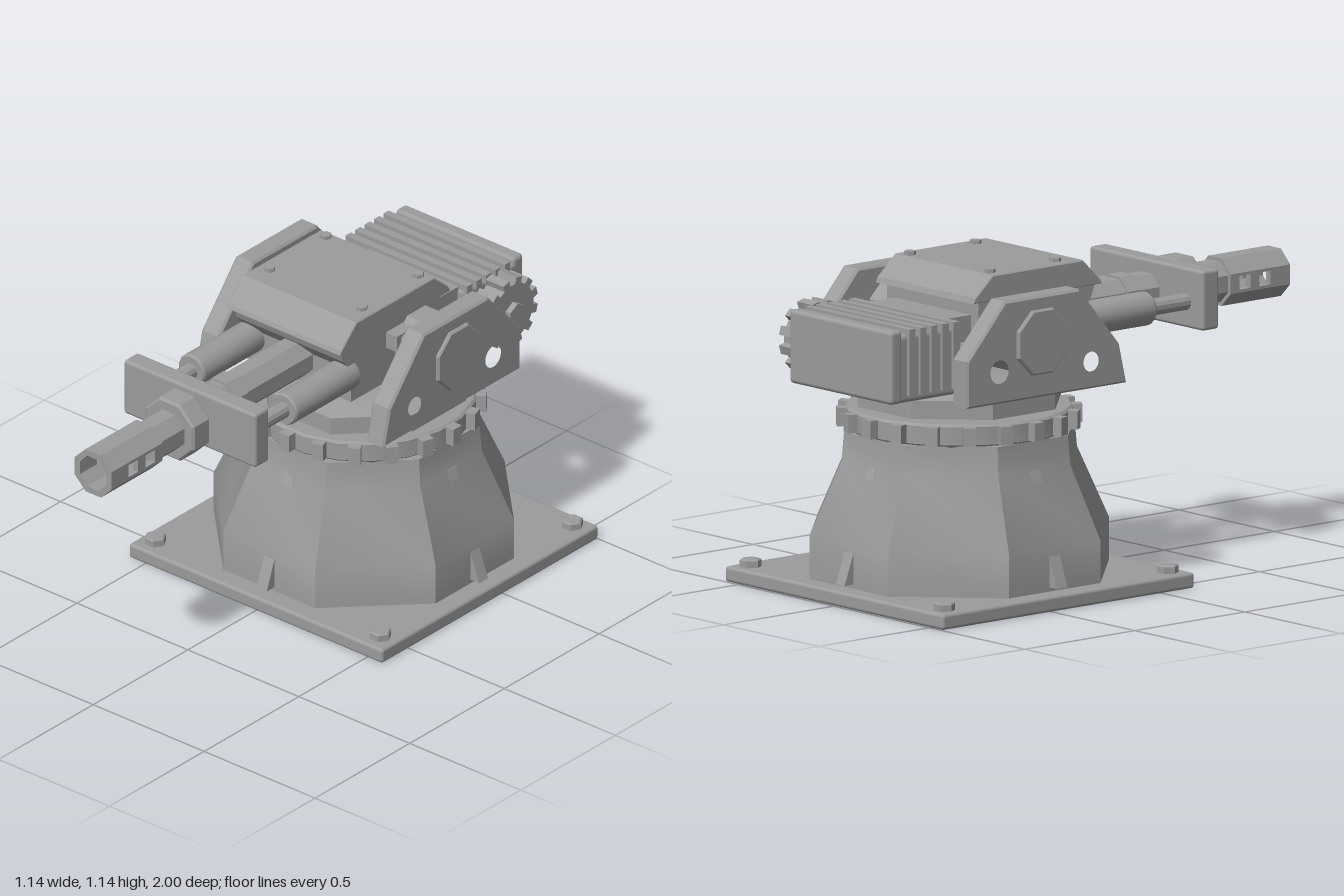
import * as THREE from 'three';
import { toCreasedNormals } from 'three/addons/utils/BufferGeometryUtils.js';
import { RoundedBoxGeometry } from 'three/addons/geometries/RoundedBoxGeometry.js';

const AXIS_Z = -0.43; // turning axis of the turret
const GUN_Y = 0.912;  // height of the barrel line

export function createModel() {
  const model = new THREE.Group();
  const grey = new THREE.MeshStandardMaterial({ color: 0x9c9c9c });
  grey.name = 'grey metal';

  const add = (name, geo, parent = model) => {
    const mesh = new THREE.Mesh(geo, grey);
    mesh.name = name;
    parent.add(mesh);
    return mesh;
  };
  const group = (name, x, y, z) => {
    const g = new THREE.Group();
    g.name = name;
    g.position.set(x, y, z);
    model.add(g);
    return g;
  };

  // Box given by its limits, optionally with rounded edges
  const box = (x0, x1, y0, y1, z0, z1, r = 0) => {
    const size = [x1 - x0, y1 - y0, z1 - z0];
    const geo = r ? new RoundedBoxGeometry(...size, 2, r) : new THREE.BoxGeometry(...size);
    return geo.translate((x0 + x1) / 2, (y0 + y1) / 2, (z0 + z1) / 2);
  };

  // Turned solid from [flat-to-centre distance, height] pairs, a flat side facing front
  const turned = (profile, sides) => {
    const k = 1 / Math.cos(Math.PI / sides);
    const pts = profile.map(([r, y]) => new THREE.Vector2(r * k, y));
    pts.unshift(new THREE.Vector2(0, profile[0][1]));
    pts.push(new THREE.Vector2(0, profile[profile.length - 1][1]));
    return toCreasedNormals(new THREE.LatheGeometry(pts, sides, Math.PI / sides), 0.5);
  };
  const turnedZ = (profile, sides) => turned(profile, sides).rotateX(Math.PI / 2);
  const turnedX = (profile, sides) => turned(profile, sides).rotateZ(-Math.PI / 2);

  // Side profile of [z, y] points extruded from x0 to x1, with round holes [z, y, radius]
  const sideProfile = (pts, x0, x1, holes = [], bevel = 0) => {
    const shape = new THREE.Shape(pts.map(([z, y]) => new THREE.Vector2(-z, y)));
    for (const [z, y, r] of holes) {
      const hole = new THREE.Path();
      hole.absarc(-z, y, r, 0, Math.PI * 2, true);
      shape.holes.push(hole);
    }
    const geo = new THREE.ExtrudeGeometry(shape, {
      depth: x1 - x0 - 2 * bevel, bevelEnabled: bevel > 0, bevelSize: bevel,
      bevelThickness: bevel, bevelOffset: -bevel, bevelSegments: 1, curveSegments: 8,
    });
    return geo.translate(0, 0, x0 + bevel).rotateY(Math.PI / 2);
  };

  // Base plate with corner bolts
  add('basePlate', box(-0.572, 0.572, 0, 0.055, -1, 0.144, 0.012));
  for (const x of [-0.507, 0.507]) for (const z of [-0.507, 0.507]) {
    add('baseBolt', turned([[0.033, 0.05], [0.033, 0.078], [0.028, 0.083]], 6)
      .translate(x, 0, AXIS_Z + z));
  }

  // Eight-sided pedestal with four sloping ribs
  const pedestal = group('pedestal', 0, 0, AXIS_Z);
  add('pedestalBody', turned([[0.5, 0.05], [0.5, 0.205], [0.393, 0.46], [0.385, 0.56]], 8), pedestal);
  for (let i = 0; i < 4; i++) {
    const rib = sideProfile([[0.3, 0.07], [0.54, 0.07], [0.395, 0.46], [0.3, 0.46]], -0.023, 0.023);
    add('pedestalRib', rib.rotateY(i * Math.PI / 2), pedestal);
  }

  // Toothed slewing ring and turntable
  const ring = group('slewingRing', 0, 0, AXIS_Z);
  add('ringBody', turned([[0.38, 0.555], [0.388, 0.565], [0.388, 0.628], [0.38, 0.636]], 20), ring);
  for (let i = 0; i < 20; i++) {
    add('ringTooth', box(-0.022, 0.022, 0.566, 0.63, 0.36, 0.422)
      .rotateY(i * Math.PI / 10), ring);
  }
  add('turntable', turned([[0.34, 0.646], [0.34, 0.71], [0.24, 0.742]], 8).translate(0, 0, AXIS_Z));

  // Side cheeks with lightening holes and trunnion bosses
  const cheek = [[-0.035, 0.72], [-0.068, 0.86], [-0.25, 1.075], [-0.59, 1.075], [-0.762, 0.885], [-0.762, 0.72]];
  const cheekHoles = [[-0.2, 0.815, 0.043], [-0.615, 0.832, 0.05]];
  for (const [x0, x1] of [[0.345, 0.425], [-0.425, -0.345]]) {
    add('cheek', sideProfile(cheek, x0, x1, cheekHoles, 0.008));
  }
  for (const s of [1, -1]) {
    add('trunnion', turnedX([[0.113, 0.2], [0.113, 0.432], [0.107, 0.438]], 8)
      .rotateY(s > 0 ? 0 : Math.PI).translate(0, 0.915, -0.425));
  }

  // Gun housing and bolted cover
  add('housing', sideProfile([[-0.02, 1.045], [-0.04, 0.99], [-0.08, 0.94], [-0.08, 0.815],
    [-0.55, 0.815], [-0.55, 1.045]], -0.24, 0.24));
  add('cover', sideProfile([[-0.003, 1.037], [-0.01, 1.052], [-0.09, 1.13], [-0.5, 1.13],
    [-0.58, 1.06], [-0.588, 1.04]], -0.257, 0.257, [], 0.004));
  for (const x of [-0.208, 0.208]) for (const z of [-0.175, -0.473]) {
    add('coverBolt', turned([[0.018, 1.12], [0.018, 1.143]], 6).translate(x, 0, z));
  }
  add('sideBlock', box(0.23, 0.29, 0.95, 1.01, -0.355, -0.265));
  add('sidePin', turnedX([[0.025, 0.28], [0.025, 0.35]], 8).translate(0, 0.98, -0.31));

  // Motor at the rear with cooling fins and a spur gear
  add('motorMount', box(-0.2, 0.2, 0.9, 0.99, -0.72, -0.54));
  add('motorBody', box(-0.298, 0.235, 0.745, 0.985, -1, -0.69, 0.018));
  add('motorBack', box(-0.3, 0.235, 0.745, 1.003, -1, -0.945, 0.015));
  for (let i = 0; i < 5; i++) {
    const z = -0.91 + i * 0.05;
    add('coolingFin', box(-0.31, 0.238, 0.77, 1.003, z - 0.014, z + 0.014));
  }
  const gear = group('driveGear', 0, 0.876, -0.83);
  add('gearBody', turnedX([[0.108, 0.25], [0.108, 0.33]], 12), gear);
  add('gearHub', turnedX([[0.038, 0.2], [0.038, 0.352]], 6), gear);
  for (let i = 0; i < 12; i++) {
    add('gearTooth', box(0.25, 0.33, 0.09, 0.132, -0.016, 0.016)
      .rotateX((i + 0.5) * Math.PI / 6), gear);
  }

  // Recoil cylinders, rods and cross plate
  for (const x of [-0.208, 0.208]) {
    add('recoilCylinder', turnedZ([[0.058, -0.1], [0.058, 0.232], [0.053, 0.24]], 16)
      .translate(x, GUN_Y, 0));
    add('recoilRod', turnedZ([[0.028, 0.2], [0.028, 0.43]], 12).translate(x, GUN_Y, 0));
  }
  add('crossPlate', box(-0.298, 0.298, 0.82, 1.03, 0.417, 0.492, 0.012));

  // Barrel with octagonal collars
  const barrel = group('barrel', 0, GUN_Y, 0);
  add('barrelTube', turnedZ([[0.07, -0.1], [0.07, 0.735]], 8), barrel);
  add('barrelBand', turnedZ([[0.078, 0.27], [0.078, 0.335]], 8), barrel);
  add('barrelCollar', turnedZ([[0.102, 0.508], [0.11, 0.516], [0.11, 0.592], [0.102, 0.6]], 8), barrel);

  // Muzzle: closed hollow rings alternating with shells that leave side windows
  const t = Math.tan(Math.PI / 8), outer = 0.083, inner = 0.06;
  const octagon = (a) => [[1, t], [t, 1], [-t, 1], [-1, t], [-1, -t], [-t, -1], [t, -1], [1, -t]]
    .map(([x, y]) => new THREE.Vector2(x * a, y * a));
  const along = (shape, z0, z1) =>
    new THREE.ExtrudeGeometry(shape, { depth: z1 - z0, bevelEnabled: false }).translate(0, 0, z0);
  for (const [z0, z1] of [[0.73, 0.77], [0.82, 0.86], [0.91, 1]]) {
    const shape = new THREE.Shape(octagon(outer));
    shape.holes.push(new THREE.Path(octagon(inner)));
    add('muzzleRing', along(shape, z0, z1), barrel);
  }
  const half = new THREE.Shape([
    new THREE.Vector2(outer, 0.024), ...octagon(outer).slice(0, 4), new THREE.Vector2(-outer, 0.024),
    new THREE.Vector2(-inner, 0.024), ...octagon(inner).slice(0, 4).reverse(), new THREE.Vector2(inner, 0.024),
  ]);
  for (const [z0, z1] of [[0.77, 0.82], [0.86, 0.91]]) for (const turn of [0, Math.PI]) {
    add('muzzleShell', along(half, z0, z1).rotateZ(turn), barrel);
  }

  return model;
}
